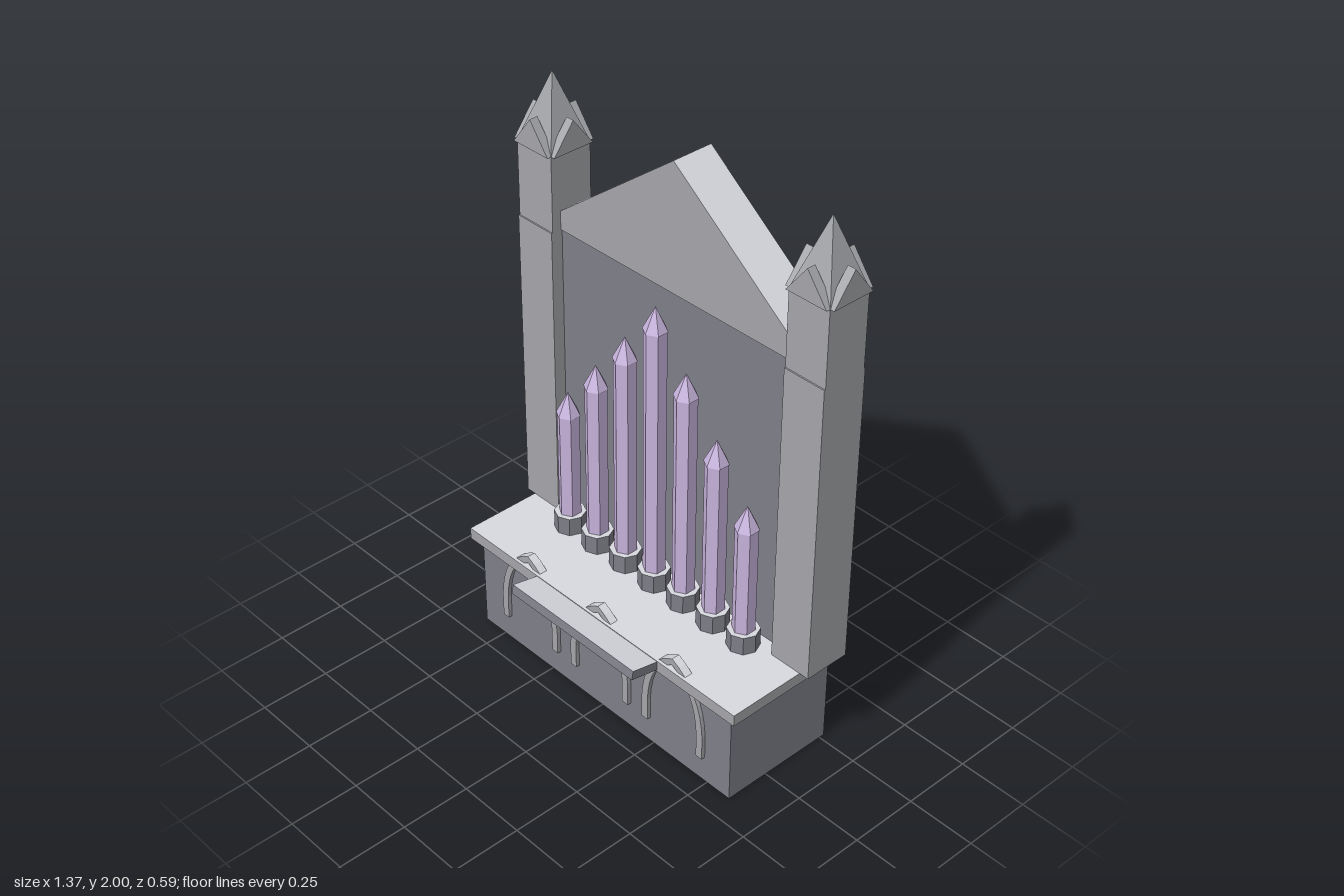
import * as THREE from 'three';

export function createModel() {
  const model = new THREE.Group();
  model.name = 'pipeOrgan';

  const mat = (name, color) => {
    const m = new THREE.MeshStandardMaterial({ color, flatShading: true });
    m.name = name;
    return m;
  };
  const stone = mat('stone grey', 0xa5a6aa);
  const dark = mat('dark slate grey', 0x7e7f88);
  const pale = mat('pale top grey', 0xd8dae0);
  const lilac = mat('lilac pipe', 0xc9b4de);

  const add = (parent, name, geometry, material, x = 0, y = 0, z = 0) => {
    const mesh = new THREE.Mesh(geometry, material);
    mesh.name = name;
    mesh.position.set(x, y, z);
    parent.add(mesh);
    return mesh;
  };
  // box given by its min and max along each axis
  const box = (parent, name, material, [x0, x1], [y0, y1], [z0, z1]) =>
    add(parent, name, new THREE.BoxGeometry(x1 - x0, y1 - y0, z1 - z0), material,
      (x0 + x1) / 2, (y0 + y1) / 2, (z0 + z1) / 2);
  // triangular prism standing on y = 0, extruded along +z
  const gable = (halfWidth, height, depth) => {
    const shape = new THREE.Shape();
    shape.moveTo(-halfWidth, 0);
    shape.lineTo(halfWidth, 0);
    shape.lineTo(0, height);
    shape.closePath();
    return new THREE.ExtrudeGeometry(shape, { depth, bevelEnabled: false });
  };
  // faces that look upwards become pale, the rest keep the mesh's own colour
  const paleTop = (mesh) => {
    const g = mesh.geometry.index ? mesh.geometry.toNonIndexed() : mesh.geometry.clone();
    g.computeVertexNormals();
    g.clearGroups();
    const normal = g.attributes.normal;
    for (let i = 0; i < normal.count; i += 3) g.addGroup(i, 3, normal.getY(i) > 0.5 ? 1 : 0);
    mesh.geometry = g;
    mesh.material = [mesh.material, pale];
    return mesh;
  };

  // base, ledge and the case behind the pipes
  box(model, 'base', dark, [-0.6, 0.6], [0, 0.35], [-0.27, 0.165]);
  paleTop(box(model, 'ledge', stone, [-0.635, 0.635], [0.35, 0.393], [-0.295, 0.19]));
  box(model, 'backPanel', dark, [-0.605, 0.605], [0.393, 1.487], [-0.275, -0.142]);
  paleTop(add(model, 'gable', gable(0.6, 0.455, 0.153), stone, 0, 1.487, -0.29));

  // tilted keyboard shelf
  const shelf = paleTop(add(model, 'keyboardShelf',
    new THREE.BoxGeometry(0.58, 0.033, 0.16), dark, 0, 0.379, 0.217));
  shelf.rotation.x = -0.2;

  // corner towers with pointed roofs
  for (const side of [-1, 1]) {
    const tower = new THREE.Group();
    tower.name = side > 0 ? 'leftTower' : 'rightTower';
    tower.position.set(side * 0.591, 0, -0.184);
    model.add(tower);
    box(tower, 'lowerShaft', stone, [-0.08, 0.08], [0.393, 1.487], [-0.085, 0.086]);
    box(tower, 'upperShaft', stone, [-0.08, 0.08], [1.487, 1.76], [-0.081, 0.081]);

    const spire = add(tower, 'spire',
      new THREE.ConeGeometry(0.08 * Math.SQRT2, 0.24, 4), stone, 0, 1.88, 0);
    spire.rotation.y = Math.PI / 4;

    for (let i = 0; i < 4; i++) {
      const pivot = new THREE.Group();
      pivot.name = 'spireGable';
      pivot.rotation.y = i * Math.PI / 2;
      tower.add(pivot);
      add(pivot, 'smallGable', gable(0.08, 0.105, 0.031), stone, 0, 1.758, 0.064);
    }
  }

  // seven pipes, tallest in the middle
  const tipHeight = 0.085;
  const tops = [1.47, 1.295, 1.12, 0.945];
  for (let i = -3; i <= 3; i++) {
    const pipe = new THREE.Group();
    pipe.name = 'pipe';
    pipe.position.set(i * 0.138, 0, -0.068);
    model.add(pipe);
    const bodyTop = tops[Math.abs(i)] - tipHeight;
    const length = bodyTop - 0.393;
    paleTop(add(pipe, 'socket',
      new THREE.CylinderGeometry(0.055, 0.055, 0.068, 8), dark, 0, 0.427, 0));
    add(pipe, 'pipeBody', new THREE.CylinderGeometry(0.039, 0.039, length, 6),
      lilac, 0, 0.393 + length / 2, 0);
    add(pipe, 'pipeTip', new THREE.ConeGeometry(0.042, tipHeight, 6),
      lilac, 0, bodyTop + tipHeight / 2, 0);
  }

  // pointed arches on the front, their tips breaking through the ledge
  const arch = new THREE.Shape();
  arch.moveTo(-0.14, 0.1);
  arch.lineTo(-0.14, 0.19);
  arch.quadraticCurveTo(-0.13, 0.372, 0, 0.433);
  arch.quadraticCurveTo(0.13, 0.372, 0.14, 0.19);
  arch.lineTo(0.14, 0.1);
  arch.lineTo(0.113, 0.1);
  arch.lineTo(0.113, 0.19);
  arch.quadraticCurveTo(0.105, 0.355, 0, 0.407);
  arch.quadraticCurveTo(-0.105, 0.355, -0.113, 0.19);
  arch.lineTo(-0.113, 0.1);
  arch.closePath();
  const archGeometry = new THREE.ExtrudeGeometry(arch,
    { depth: 0.03, bevelEnabled: false, curveSegments: 8 });
  for (const x of [-0.347, 0, 0.347])
    paleTop(add(model, 'frontArch', archGeometry, stone, x, 0, 0.149));

  return model;
}
